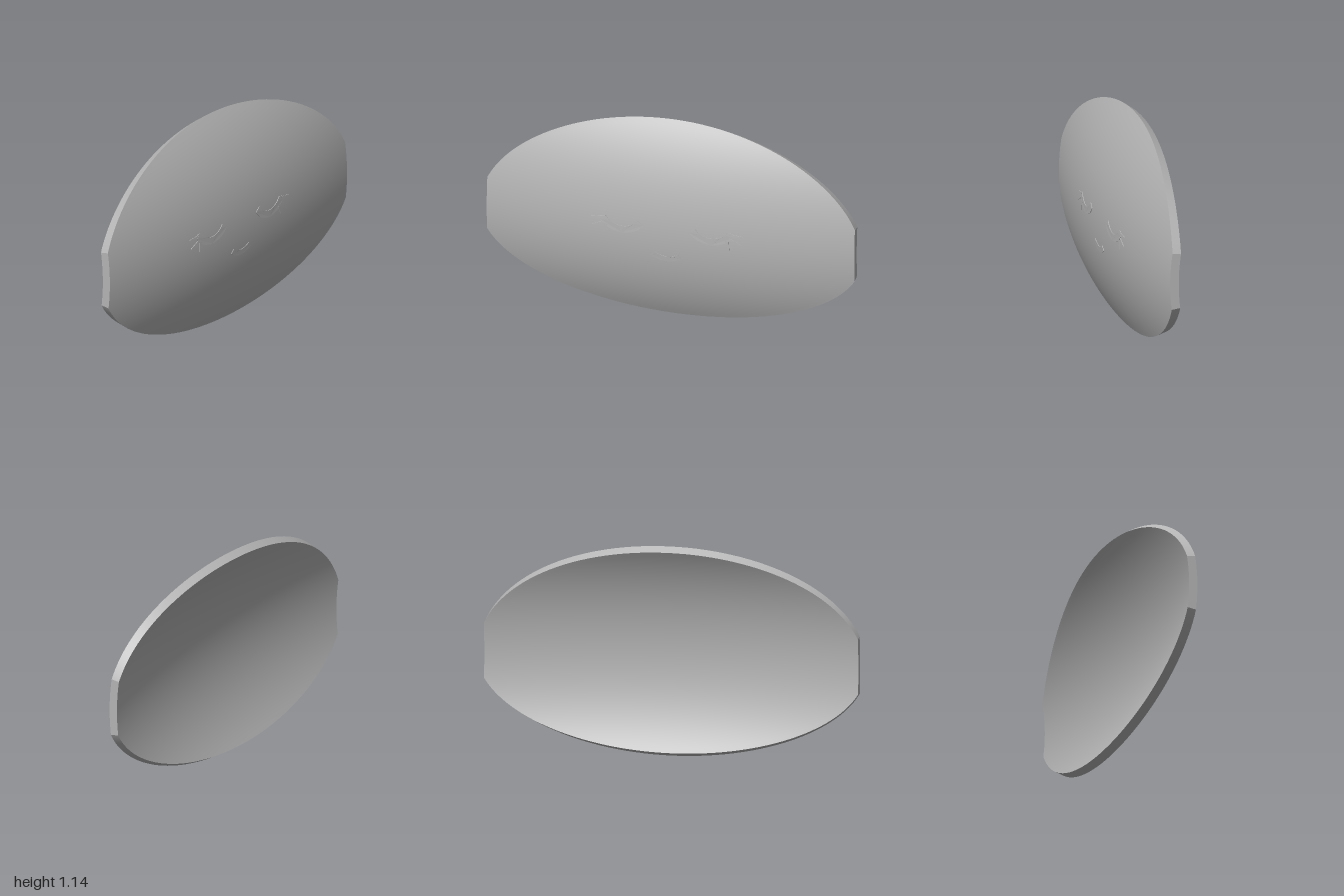
import * as THREE from 'three';

const MID = 0.51, RADIUS = 1.11, THICK = 0.047, HALF = 1.039;

// Dome surface: circular arc in y, gentler bow in x; depth runs inward along the arc's normal
const domeZ = (x, y) => Math.sqrt(RADIUS ** 2 - (y - MID) ** 2) - 0.99 - 0.087 * x * x;
function domePoint(x, y, depth) {
  const ny = (y - MID) / RADIUS;
  return [x, y - ny * depth, domeZ(x, y) - Math.sqrt(1 - ny * ny) * depth];
}

// Outline: two half ellipses cut off straight at x = -1 and x = 1
const outline = (x, half) => MID + half * Math.sqrt(1 - (x / HALF) ** 2);
const topY = (x) => outline(x, 0.63);
const bottomY = (x) => outline(x, -0.505 - 0.005);

// Grid of points from fn(s, t), facing the side where s runs right and t runs up
function sheet(name, nu, nv, material, fn) {
  const geo = new THREE.PlaneGeometry(1, 1, nu, nv);
  const p = geo.attributes.position;
  for (let i = 0; i < p.count; i++) p.setXYZ(i, ...fn(p.getX(i) + 0.5, p.getY(i) + 0.5));
  geo.computeVertexNormals();
  const mesh = new THREE.Mesh(geo, material);
  mesh.name = name;
  return mesh;
}

// Thin raised plate laid onto the dome
function plate(name, shape, material) {
  const geo = new THREE.ExtrudeGeometry(shape, { depth: 0.007, bevelEnabled: false, curveSegments: 16 });
  const p = geo.attributes.position;
  for (let i = 0; i < p.count; i++) {
    p.setZ(i, p.getZ(i) - 0.004 + domeZ(p.getX(i), p.getY(i)));
  }
  geo.computeVertexNormals();
  const mesh = new THREE.Mesh(geo, material);
  mesh.name = name;
  return mesh;
}

// Curved band hanging below its centre; spread is the half angle
function arcBand(cx, cy, inner, outer, spread) {
  const shape = new THREE.Shape();
  const a = -Math.PI / 2 - spread, b = -Math.PI / 2 + spread;
  shape.absarc(cx, cy, outer, a, b, false);
  shape.absarc(cx, cy, inner, b, a, true);
  return shape;
}

export function createModel() {
  const group = new THREE.Group();
  const grey = new THREE.MeshStandardMaterial({ color: 0xb4b4b4 });
  grey.name = 'grey';

  // Curved shell
  const shell = new THREE.Group();
  shell.name = 'shell';
  const faceAt = (x, t, depth) => domePoint(x, THREE.MathUtils.lerp(bottomY(x), topY(x), t), depth);
  // Columns bunch up towards the ends, where the outline is steepest
  const spanX = (s) => Math.sin((s - 0.5) * Math.PI);
  shell.add(
    sheet('frontSurface', 64, 40, grey, (s, t) => faceAt(spanX(s), t, 0)),
    sheet('backSurface', 64, 40, grey, (s, t) => faceAt(-spanX(s), t, THICK)),
    sheet('topRim', 64, 1, grey, (s, t) => faceAt(spanX(s), 1, t * THICK)),
    sheet('bottomRim', 64, 1, grey, (s, t) => faceAt(spanX(s), 0, (1 - t) * THICK)),
    sheet('leftEnd', 40, 1, grey, (s, t) => faceAt(1, s, (1 - t) * THICK)),
    sheet('rightEnd', 40, 1, grey, (s, t) => faceAt(-1, s, t * THICK)),
  );
  group.add(shell);

  // Closed eyes with lashes
  const lashes = [
    [[0.335, 0.607], [0.325, 0.59], [0.36, 0.602]],
    [[0.345, 0.6], [0.36, 0.58], [0.415, 0.592]],
    [[0.34, 0.578], [0.356, 0.568], [0.408, 0.54]],
    [[0.318, 0.556], [0.338, 0.56], [0.342, 0.505]],
  ];
  for (const side of [1, -1]) {
    const eye = new THREE.Group();
    eye.name = side > 0 ? 'leftEye' : 'rightEye';
    eye.add(plate('eyelid', arcBand(side * 0.243, 0.668, 0.107, 0.146, 0.95), grey));
    for (const lash of lashes) {
      const pts = lash.map(([x, y]) => new THREE.Vector2(side * x, y));
      eye.add(plate('lash', new THREE.Shape(pts), grey));
    }
    group.add(eye);
  }

  // Smile
  group.add(plate('mouth', arcBand(0, 0.513, 0.098, 0.128, 0.69), grey));
  return group;
}
